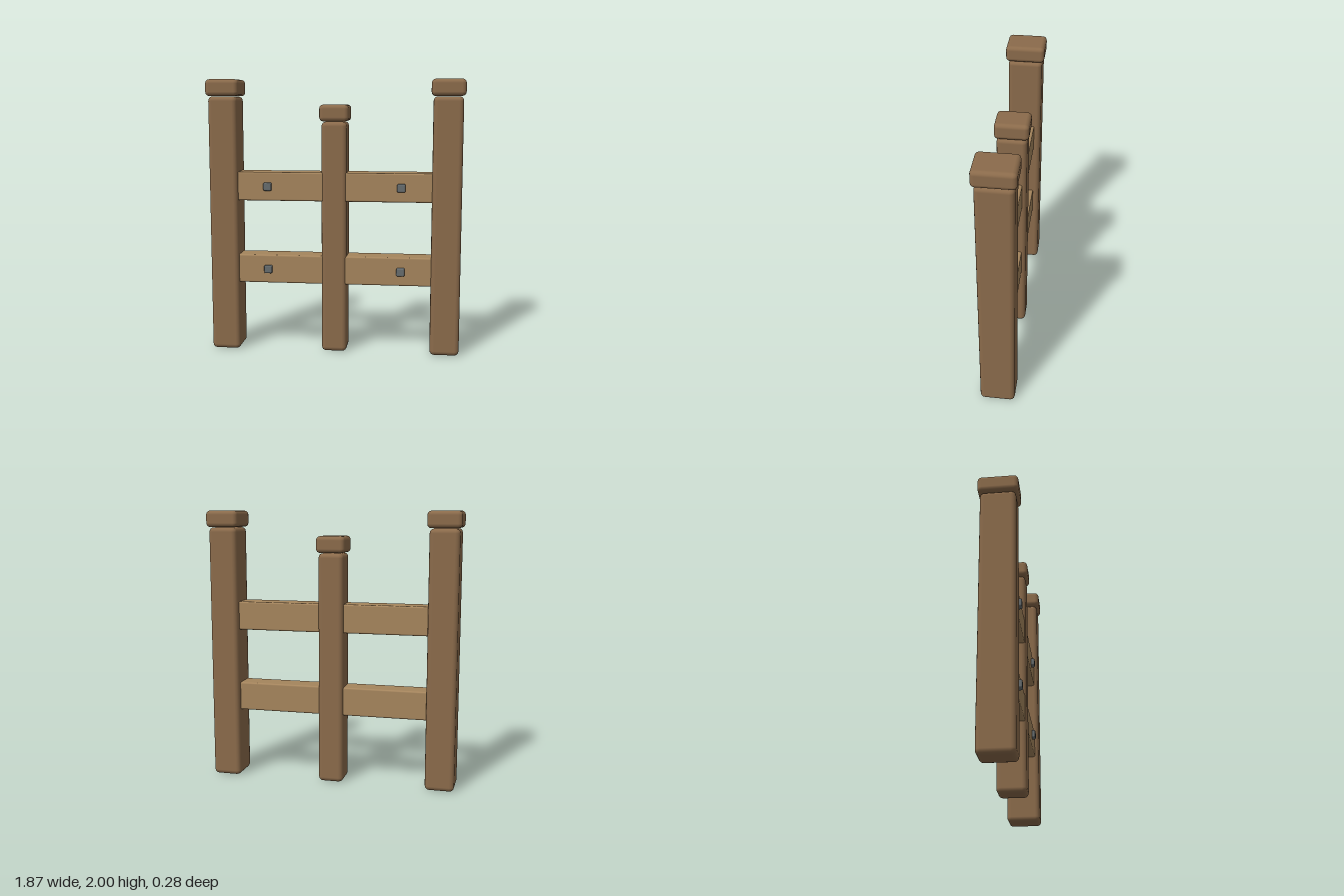
import * as THREE from 'three';
import { RoundedBoxGeometry } from 'three/addons/geometries/RoundedBoxGeometry.js';

const postWood = new THREE.MeshStandardMaterial({ color: 0x8b6b4b });
const railWood = new THREE.MeshStandardMaterial({ color: 0xa5855d });
const iron = new THREE.MeshStandardMaterial({ color: 0x666c6e });

// Box with softened edges, placed by its centre
function block(name, [w, h, d], [x, y, z], radius, material) {
  const mesh = new THREE.Mesh(new RoundedBoxGeometry(w, h, d, 2, radius), material);
  mesh.name = name;
  mesh.position.set(x, y, z);
  return mesh;
}

// Upright with a wider cap resting on its top
function cappedPost(name, x, height, width, depth, capWidth, capDepth) {
  const post = new THREE.Group();
  post.name = name;
  post.position.x = x;
  const capHeight = 0.12;
  const shaft = height - capHeight - 0.002;
  post.add(
    block('postShaft', [width, shaft, depth], [0, shaft / 2, 0], 0.033, postWood),
    block('postCap', [capWidth, capHeight, capDepth], [0, height - capHeight / 2, 0], 0.03, postWood),
  );
  return post;
}

export function createModel() {
  const fence = new THREE.Group();
  fence.name = 'fence';

  // Posts
  fence.add(
    cappedPost('leftPost', 0.812, 2, 0.212, 0.25, 0.242, 0.284),
    cappedPost('rightPost', -0.812, 2, 0.212, 0.25, 0.242, 0.284),
    cappedPost('middlePost', 0, 1.82, 0.185, 0.212, 0.212, 0.242),
  );

  // Rails run into all posts, each with a bolt head on either side of the middle
  for (const [level, y] of [['lower', 0.614], ['upper', 1.227]]) {
    fence.add(block(`${level}Rail`, [1.5, 0.21, 0.172], [0, y, 0.01], 0.012, railWood));
    for (const [side, sign] of [['Left', 1], ['Right', -1]]) {
      fence.add(block(`${level}${side}Bolt`, [0.06, 0.06, 0.05], [sign * 0.487, y, 0.097], 0.01, iron));
    }
  }
  return fence;
}
